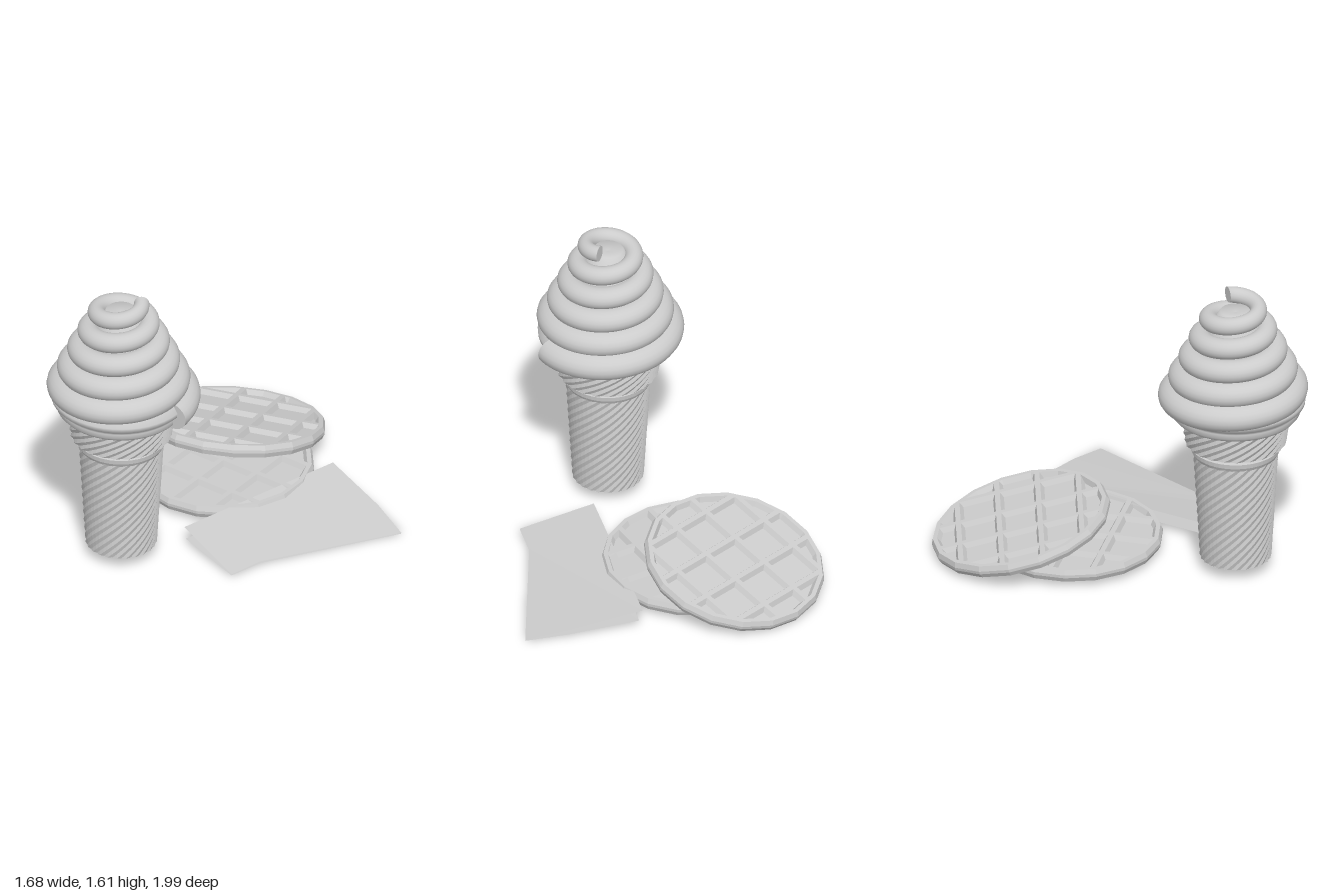
import * as THREE from 'three';

const smooth = new THREE.MeshStandardMaterial({ color: 0xcccccc, side: THREE.DoubleSide });
const flat = new THREE.MeshStandardMaterial({ color: 0xcccccc, side: THREE.DoubleSide, flatShading: true });

function add(parent, name, geometry, material) {
  const mesh = new THREE.Mesh(geometry, material);
  mesh.name = name;
  parent.add(mesh);
  return mesh;
}

function lathe(points, segments) {
  return new THREE.LatheGeometry(points.map(([r, y]) => new THREE.Vector2(r, y)), segments);
}

function indexed(positions, indices) {
  const g = new THREE.BufferGeometry();
  g.setAttribute('position', new THREE.Float32BufferAttribute(positions, 3));
  g.setIndex(indices);
  g.computeVertexNormals();
  return g;
}

// Conical wall covered in small raised diamonds
function quiltedWall(rBottom, rTop, y0, y1, rows) {
  const n = 48, g = new THREE.CylinderGeometry(rTop, rBottom, y1 - y0, n, rows, true);
  const p = g.attributes.position;
  for (let k = 0; k < p.count; k++) {
    const i = k % (n + 1), j = Math.floor(k / (n + 1));
    const s = (i + j) % 2 === 0 ? 1.015 : 0.985;
    p.setXYZ(k, p.getX(k) * s, p.getY(k), p.getZ(k) * s);
  }
  g.translate(0, (y0 + y1) / 2, 0);
  return g;
}

// Rope of soft ice cream climbing in a narrowing spiral
function swirlGeometry() {
  const turns = 5.1, steps = 330, sides = 20, pos = [], idx = [];
  for (let s = 0; s <= steps; s++) {
    const t = (s / steps) * turns, a = t * Math.PI * 2;
    const w = 0.1 - 0.0115 * t, h = 0.08 - 0.007 * t;
    const r = 0.425 - 0.054 * t - w, y = 0.985 + 0.113 * t;
    for (let k = 0; k < sides; k++) {
      const b = (k / sides) * Math.PI * 2;
      const rr = r + w * Math.cos(b);
      pos.push(rr * Math.cos(a), y + h * Math.sin(b), -rr * Math.sin(a));
      if (s < steps) {
        const c = s * sides + k, d = s * sides + (k + 1) % sides;
        idx.push(c, c + sides, d, d, c + sides, d + sides);
      }
    }
  }
  // end caps, on their own vertices
  for (const [ring, flip] of [[0, false], [steps, true]]) {
    const base = pos.length / 3;
    for (let k = 0; k < sides * 3; k++) pos.push(pos[ring * sides * 3 + k]);
    for (let k = 1; k < sides - 1; k++) {
      if (flip) idx.push(base, base + k + 1, base + k);
      else idx.push(base, base + k, base + k + 1);
    }
  }
  for (let i = 0; i < idx.length; i += 3) [idx[i + 1], idx[i + 2]] = [idx[i + 2], idx[i + 1]];
  return indexed(pos, idx);
}

function iceCream() {
  const g = new THREE.Group();
  g.name = 'iceCreamCone';
  add(g, 'coneBody', quiltedWall(0.187, 0.222, 0.07, 0.68, 24), flat);
  add(g, 'coneCup', quiltedWall(0.265, 0.288, 0.75, 0.92, 8), flat);
  add(g, 'coneBase', lathe([[0, 0.07], [0.187, 0.07]], 48), flat);
  add(g, 'coneCollar', lathe([[0.222, 0.675], [0.232, 0.695], [0.235, 0.72], [0.205, 0.725],
    [0.225, 0.733], [0.265, 0.752]], 48), flat);
  add(g, 'creamCore', lathe([[0, 0.89], [0.29, 0.9], [0.325, 0.91], [0.342, 0.93], [0.342, 0.955],
    [0.34, 0.965], [0.368, 0.985], [0.37, 1.01], [0.34, 1.06], [0.25, 1.12], [0.2, 1.3],
    [0.13, 1.45], [0.08, 1.52], [0, 1.51]], 48), smooth);
  add(g, 'creamSwirl', swirlGeometry(), smooth);
  g.position.set(-0.25, 0, 0.608);
  return g;
}

// Round waffle: rim, thin web and tapered ribs on both faces
function waffle(name, offsets) {
  const R = 0.485, H = 0.034, g = new THREE.Group();
  g.name = name;
  add(g, 'rim', lathe([[R - 0.055, 0], [R - 0.035, H], [R - 0.012, H], [R, 0.008], [R, -0.008],
    [R - 0.012, -H], [R - 0.035, -H], [R - 0.055, 0]], 18), flat);
  add(g, 'web', new THREE.CylinderGeometry(R - 0.03, R - 0.03, 0.016, 18), flat);
  const profile = new THREE.Shape([[-0.034, 0], [-0.014, -H], [0.014, -H], [0.034, 0], [0.014, H], [-0.014, H]]
    .map(([x, y]) => new THREE.Vector2(x, y)));
  for (const d of offsets) {
    const length = 2 * Math.sqrt((R - 0.03) ** 2 - d * d);
    for (const turn of [0, Math.PI / 2]) {
      const rib = new THREE.ExtrudeGeometry(profile, { depth: length, bevelEnabled: false });
      rib.translate(d, 0, -length / 2);
      rib.rotateY(turn);
      add(g, 'rib', rib, flat);
    }
  }
  return g;
}

// Folded paper napkin: two sheets joined at the far edge
function napkin() {
  const g = new THREE.Group();
  g.name = 'napkin';
  const faces = [0, 1, 2, 0, 2, 3, 0, 3, 5, 3, 4, 5];
  add(g, 'upperSheet', indexed([0.24, 0.104, -0.6, -0.02, 0.104, 0.36, 0.37, 0.016, 0.465,
    0.42, 0.02, 0.28, 0.84, 0.005, -0.4, 0.62, 0.045, -0.49], faces), flat);
  add(g, 'lowerSheet', indexed([0.25, 0.03, -0.58, -0.01, 0.035, 0.36, 0.37, 0.01, 0.465,
    0.42, 0.01, 0.28, 0.84, 0, -0.4, 0.62, 0.012, -0.48], faces), flat);
  return g;
}

export function createModel() {
  const model = new THREE.Group();
  model.name = 'iceCreamAndWaffles';
  model.add(iceCream());

  const lower = waffle('lowerWaffle', [-0.22, 0, 0.22]);
  lower.position.set(-0.25, 0.07, -0.285);
  model.add(lower);

  // upper waffle leans on the lower one
  const upper = waffle('upperWaffle', [-0.33, -0.11, 0.11, 0.33]);
  const normal = new THREE.Vector3(-0.1, 1, -0.25).normalize();
  upper.quaternion.setFromUnitVectors(new THREE.Vector3(0, 1, 0), normal);
  upper.rotateY(0.28);
  upper.position.set(-0.357, 0.16, -0.53);
  model.add(upper);

  model.add(napkin());
  return model;
}
